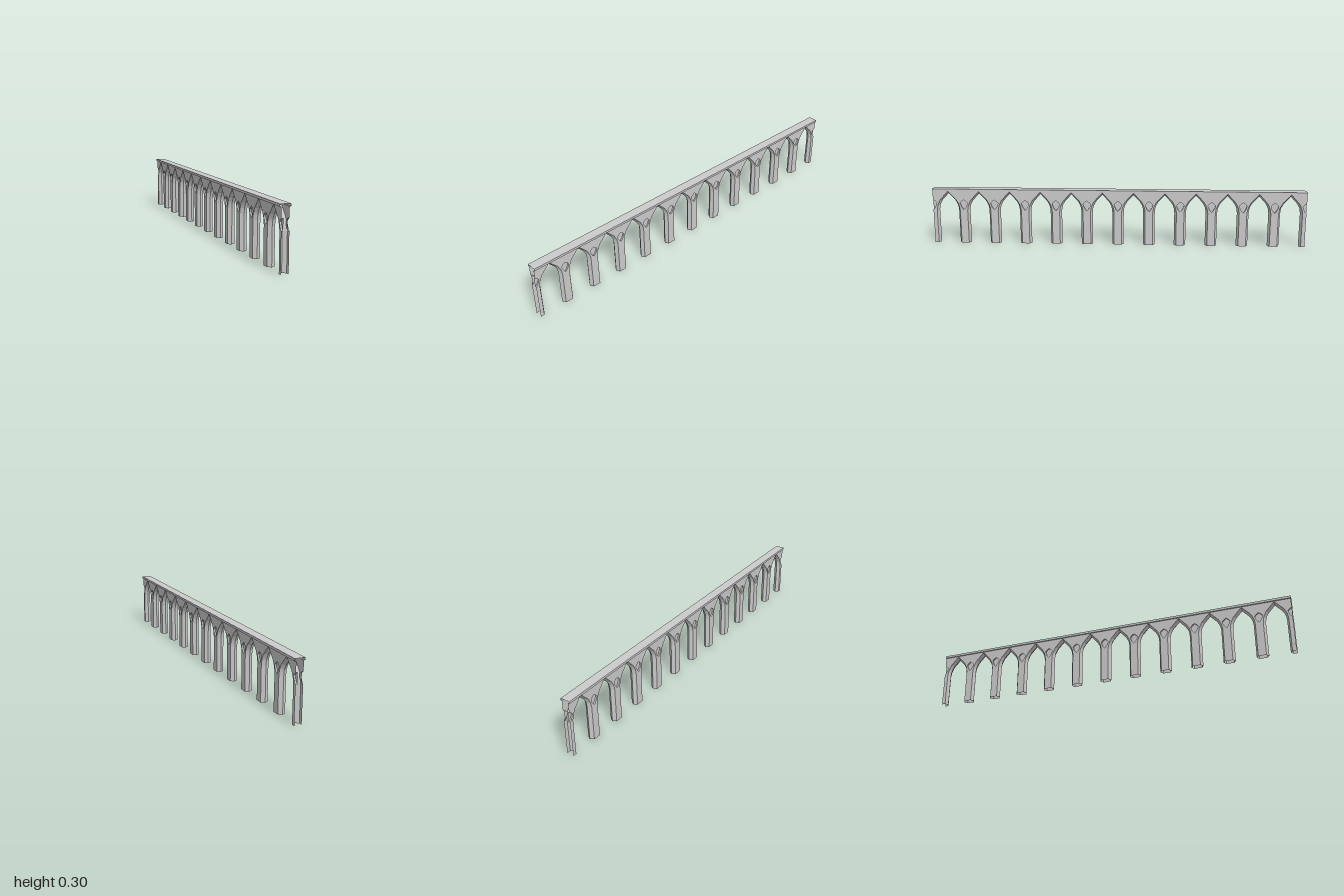
import * as THREE from 'three';

const material = new THREE.MeshStandardMaterial({ color: 0xcccccc, flatShading: true, side: THREE.DoubleSide });
const HALF = 1 / 12;      // half of one bay
const WALL = 0.018;       // wall face distance from the centre plane
const RECESS = 0.010;     // depth plane of the eye pockets
const CORNICE = 0.288;    // underside of the cornice

// Surface between neighbouring curves, each a list of [x, y, z]
function loft(curves) {
  const n = curves[0].length, index = [];
  for (let i = 0; i < curves.length - 1; i++) {
    for (let j = 0; j < n - 1; j++) {
      const a = i * n + j, b = a + n;
      index.push(a, b, b + 1, a, b + 1, a + 1);
    }
  }
  const indexed = new THREE.BufferGeometry();
  indexed.setAttribute('position', new THREE.Float32BufferAttribute(curves.flat(2), 3));
  indexed.setIndex(index);
  const geometry = indexed.toNonIndexed();
  geometry.computeVertexNormals();
  return geometry;
}

// Flat panel from [distance from pier centre, height], facing -x
function panel(points, x) {
  const shape = new THREE.Shape(points.map(p => new THREE.Vector2(...p)));
  return new THREE.ShapeGeometry(shape).rotateY(-Math.PI / 2).translate(x, 0, 0);
}

// Smooth the haunch of an arch line between the jamb and the apex
function archLine(jamb, haunch, apex) {
  const curve = new THREE.CatmullRomCurve3(haunch.map(([s, y]) => new THREE.Vector3(s, y, 0)));
  return [[jamb, 0], ...curve.getPoints(6).map(p => [p.x, p.y]), [HALF, apex]];
}

const add = (group, geometry, name) => {
  const mesh = new THREE.Mesh(geometry, material);
  mesh.name = name;
  group.add(mesh);
};

export function createModel() {
  const model = new THREE.Group();
  model.name = 'arcade';

  // Arch lines: wall edge, fillet and central ridge
  const edge = archLine(0.020, [[0.020, 0.180], [0.025, 0.208], [0.039, 0.238]], 0.286);
  const fillet = archLine(0.023, [[0.023, 0.180], [0.028, 0.210], [0.042, 0.237]], 0.282);
  const ridge = archLine(0.031, [[0.031, 0.180], [0.036, 0.210], [0.050, 0.236]], 0.272);
  const at = (line, x) => line.map(([s, y]) => [x, y, s]);
  const soffit = loft([
    at(edge, -WALL), at(fillet, -0.012), at(ridge, 0), at(fillet, 0.012), at(edge, WALL),
  ]);

  // Half outline of the pointed pocket above each pier
  const eye = [[0, 0.185], [0.009, 0.195], [0.016, 0.208], [0.020, 0.222], [0.012, 0.231], [0, 0.240]];
  const wall = panel([[0, 0], ...edge, [HALF, CORNICE], [0, CORNICE], ...[...eye].reverse()], -WALL);
  const eyeFloor = panel(eye, -RECESS);
  const eyeRim = loft([at(eye, -RECESS), at(eye, -WALL)]);

  // Each half bay rises from a pier centre to an arch apex
  for (let i = 0; i < 12; i++) {
    for (const dir of [1, -1]) {
      const bay = new THREE.Group();
      bay.name = 'halfBay';
      bay.position.z = -1 + (i + (dir > 0 ? 0 : 1)) * 2 * HALF;
      bay.scale.z = dir;
      add(bay, soffit, 'archReveal');
      for (const side of [1, -1]) {
        const face = new THREE.Group();
        face.name = 'pierFace';
        face.scale.x = side;
        add(face, wall, 'pierAndSpandrel');
        add(face, eyeFloor, 'eyePanel');
        add(face, eyeRim, 'eyeRim');
        bay.add(face);
      }
      model.add(bay);
    }
  }

  // Cornice running the whole length, open at the ends
  const section = [[WALL, CORNICE], [0.025, CORNICE], [0.025, 0.3], [-0.025, 0.3], [-0.025, CORNICE], [-WALL, CORNICE]];
  add(model, loft(section.map(([x, y]) => [[x, y, -1], [x, y, 1]])), 'cornice');
  return model;
}
